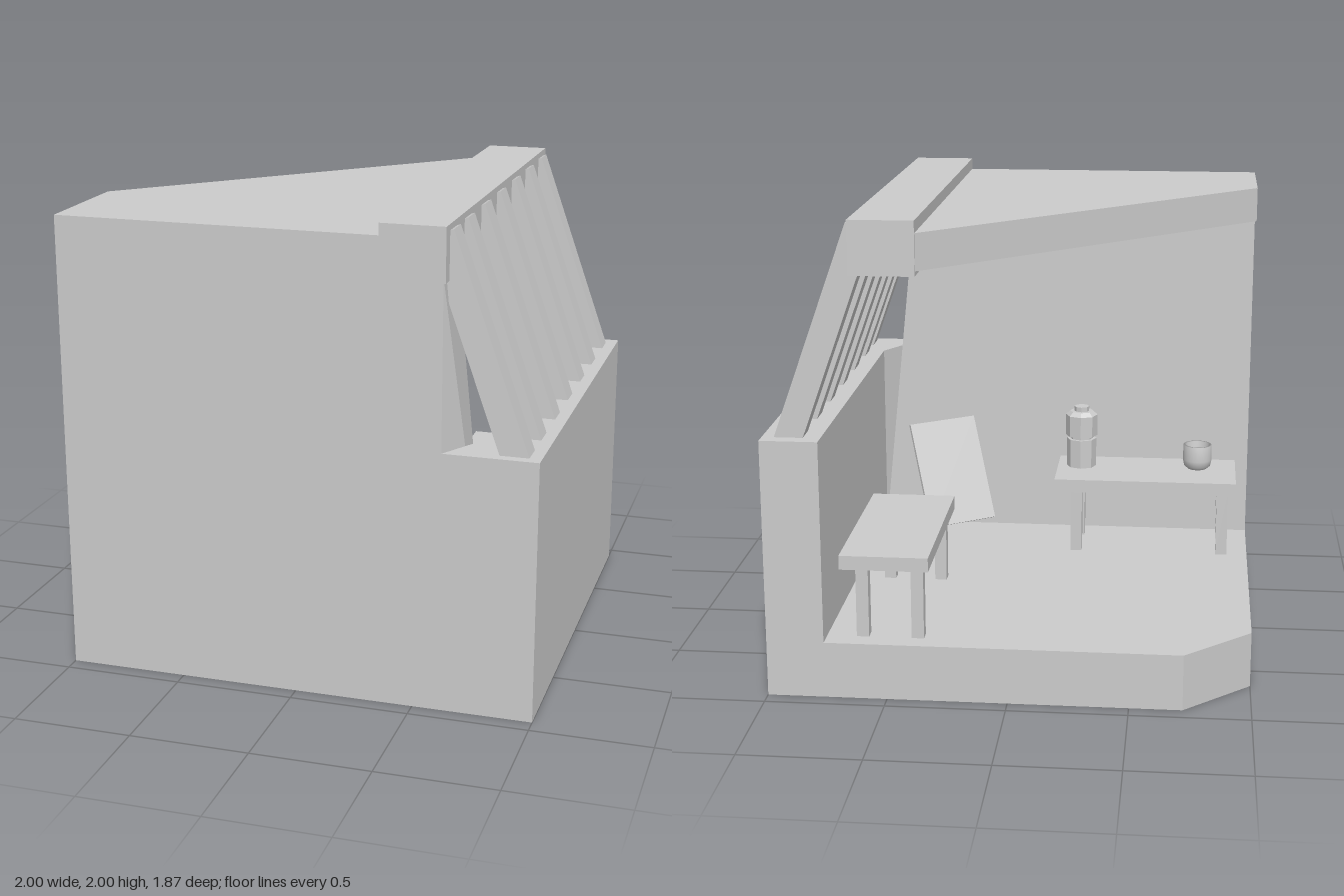
import * as THREE from 'three';
import { ConvexGeometry } from 'three/addons/geometries/ConvexGeometry.js';

export function createModel() {
  const model = new THREE.Group();
  const grey = new THREE.MeshStandardMaterial({ color: 0xcccccc });
  grey.name = 'plainGrey';
  const cupGrey = grey.clone();
  cupGrey.name = 'plainGreyTwoSided';
  cupGrey.side = THREE.DoubleSide;

  const add = (name, geometry, parent = model, material = grey) => {
    const mesh = new THREE.Mesh(geometry, material);
    mesh.name = name;
    parent.add(mesh);
    return mesh;
  };

  // Box given by its low and high corners
  const block = (name, [x0, y0, z0], [x1, y1, z1], parent) => {
    const mesh = add(name, new THREE.BoxGeometry(x1 - x0, y1 - y0, z1 - z0), parent);
    mesh.position.set((x0 + x1) / 2, (y0 + y1) / 2, (z0 + z1) / 2);
    return mesh;
  };

  // Flat slab from an [x, z] outline between two heights
  const slab = (name, outline, y0, y1) => {
    const shape = new THREE.Shape(outline.map(([x, z]) => new THREE.Vector2(x, -z)));
    const geometry = new THREE.ExtrudeGeometry(shape, { depth: y1 - y0, bevelEnabled: false });
    geometry.rotateX(-Math.PI / 2).translate(0, y0, 0);
    return add(name, geometry);
  };

  // Shell of the room
  slab('floor', [[-1, 0.93], [1, 0.93], [1, -0.93], [-0.72, -0.93], [-1, -0.66]], 0, 0.24);
  slab('lowSideWall', [[0.61, 0.93], [1, 0.93], [1, -0.93], [0.76, -0.93], [0.76, 0.67]], 0.24, 1.1);
  slab('roof', [[-1, 0.93], [0.61, 0.93], [0.61, -0.93], [0.36, -0.93], [-1, 0.41]], 1.8, 1.95);
  block('ridgeBeam', [0.355, 1.78, -0.935], [0.62, 2, 0.935]);

  // Front wall, its inner end leaning back towards the roof
  add('frontWall', new ConvexGeometry([
    [-1, 0.24, 0.67], [0.76, 0.24, 0.67], [0.6, 1.8, 0.67], [-1, 1.8, 0.67],
    [-1, 0.24, 0.93], [0.61, 0.24, 0.93], [0.61, 1.8, 0.93], [-1, 1.8, 0.93],
  ].map((p) => new THREE.Vector3(...p))));

  // Sloping slats between side wall and beam
  const slats = new THREE.Group();
  slats.name = 'slats';
  model.add(slats);
  for (const z of [0.83, 0.6, 0.315, 0.035, -0.255, -0.538, -0.825]) {
    const slat = add('slat', new THREE.BoxGeometry(0.112, 0.935, 0.105), slats);
    slat.position.set(0.74, 1.521, z);
    slat.rotation.set(-0.011, 0, 0.344);
  }

  // Bench and table: a top on four legs
  const table = (name, [x0, x1], [z0, z1], legXs, legZs) => {
    const group = new THREE.Group();
    group.name = name;
    model.add(group);
    block(name + 'Top', [x0, 0.54, z0], [x1, 0.6, z1], group);
    for (const x of legXs) for (const z of legZs) {
      block(name + 'Leg', [x - 0.026, 0.24, z - 0.026], [x + 0.026, 0.54, z + 0.026], group);
    }
  };
  table('bench', [0.33, 0.7], [-0.87, -0.03], [0.38, 0.61], [-0.82, -0.12]);
  table('table', [-0.94, -0.1], [0.26, 0.65], [-0.88, -0.2], [0.33, 0.56]);

  // Leaning panel in the corner
  const panel = add('leaningPanel', new THREE.BoxGeometry(0.34, 0.5, 0.015));
  panel.rotation.order = 'YXZ';
  panel.rotation.set(-0.44, Math.atan2(-0.567, -0.823), 0);
  panel.position.set(0.405, 0.565, 0.46);

  // Faceted flask on the table
  const flask = new THREE.Group();
  flask.name = 'flask';
  flask.position.set(-0.21, 0.6, 0.51);
  model.add(flask);
  const drum = (name, top, bottom, y0, y1) => {
    const geometry = new THREE.CylinderGeometry(top, bottom, y1 - y0, 8).toNonIndexed();
    geometry.computeVertexNormals();
    add(name, geometry, flask).position.y = (y0 + y1) / 2;
  };
  drum('flaskBody', 0.07, 0.07, 0, 0.135);
  drum('flaskNeck', 0.055, 0.055, 0.135, 0.15);
  drum('flaskCap', 0.075, 0.075, 0.15, 0.25);
  drum('flaskShoulder', 0.055, 0.075, 0.25, 0.268);
  drum('flaskKnob', 0.035, 0.035, 0.268, 0.29);

  // Round cup on the table
  const profile = [[0, 0], [0.045, 0], [0.062, 0.015], [0.068, 0.045], [0.066, 0.115],
    [0.056, 0.115], [0.056, 0.04], [0.045, 0.015], [0, 0.012]];
  const cup = add('cup', new THREE.LatheGeometry(
    profile.map(([r, y]) => new THREE.Vector2(r, y)), 24), model, cupGrey);
  cup.position.set(-0.76, 0.6, 0.51);

  return model;
}
